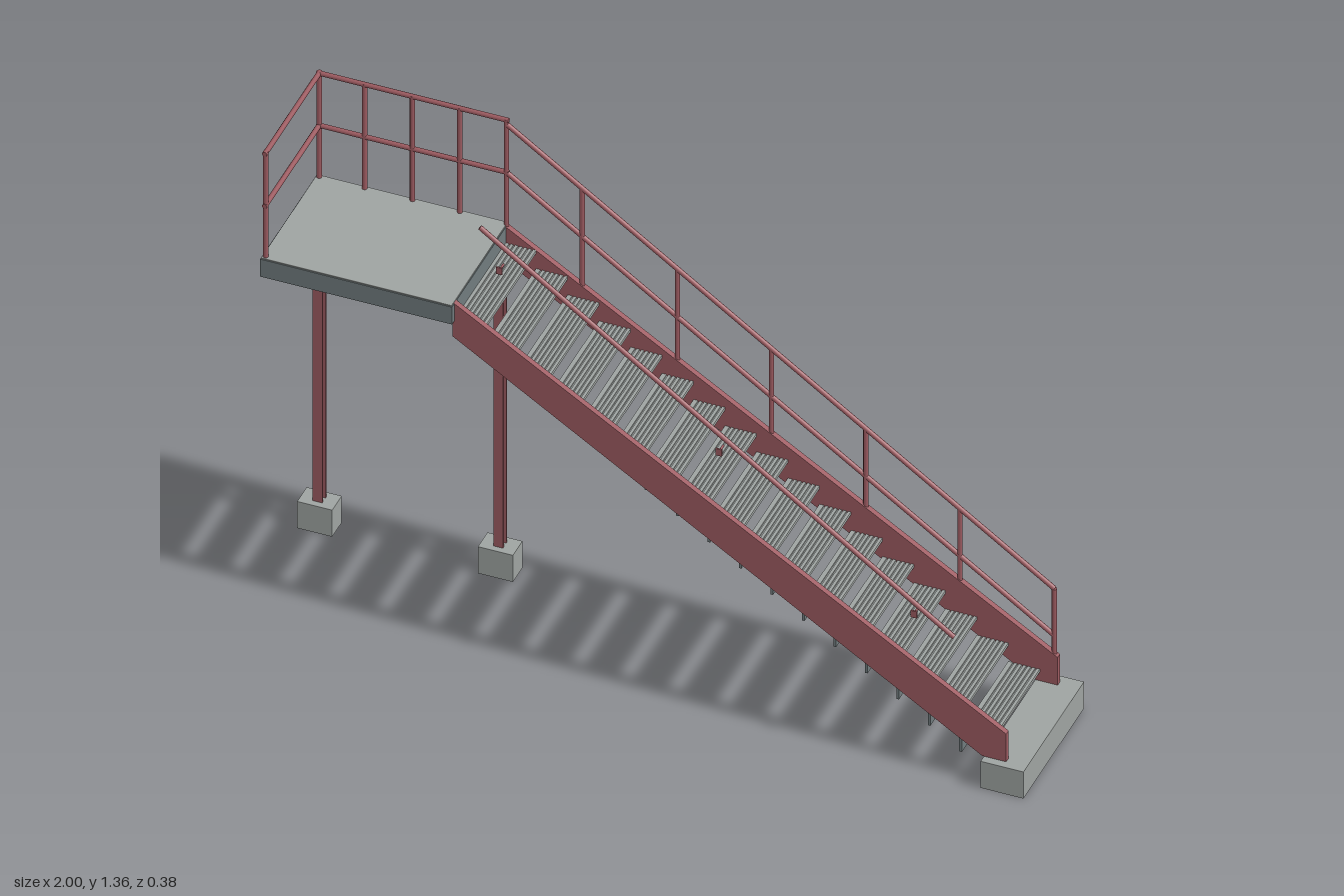
import * as THREE from 'three';

const red = new THREE.MeshStandardMaterial({ color: 0x9c5a60 });
red.name = 'red painted steel';
const concrete = new THREE.MeshStandardMaterial({ color: 0x9ea3a1 });
concrete.name = 'concrete grey';
const steel = new THREE.MeshStandardMaterial({ color: 0x707b7d });
steel.name = 'slate steel';

export function createModel() {
  const model = new THREE.Group();
  model.name = 'staircase';

  const add = (name, geometry, material, parent = model) => {
    const mesh = new THREE.Mesh(geometry, material);
    mesh.name = name;
    parent.add(mesh);
    return mesh;
  };
  // Box given by its limits on each axis
  const box = (name, material, [x0, x1], [y0, y1], [z0, z1], parent) => {
    const mesh = add(name, new THREE.BoxGeometry(x1 - x0, y1 - y0, z1 - z0), material, parent);
    mesh.position.set((x0 + x1) / 2, (y0 + y1) / 2, (z0 + z1) / 2);
    return mesh;
  };
  // Side profile in x and y, extruded from z0 to z1
  const extrude = (points, z0, z1) => {
    const shape = new THREE.Shape(points.map(([x, y]) => new THREE.Vector2(x, y)));
    return new THREE.ExtrudeGeometry(shape, { depth: z1 - z0, bevelEnabled: false }).translate(0, 0, z0);
  };
  // Straight round bar between two points
  const bar = (name, a, b, parent, r = 0.0065) => {
    const p = new THREE.Vector3(...a), q = new THREE.Vector3(...b);
    const dir = q.clone().sub(p);
    const mesh = add(name, new THREE.CylinderGeometry(r, r, dir.length(), 10), red, parent);
    mesh.position.copy(p).add(q).multiplyScalar(0.5);
    mesh.quaternion.setFromUnitVectors(new THREE.Vector3(0, 1, 0), dir.normalize());
    return mesh;
  };
  const group = (name) => {
    const g = new THREE.Group();
    g.name = name;
    model.add(g);
    return g;
  };

  // Concrete bases
  box('stairBase', concrete, [0.89, 1], [0, 0.08], [-0.19, 0.19]);
  for (const x of [-0.955, -0.49]) {
    box('columnFooting', concrete, [x - 0.045, x + 0.045], [0, 0.08], [-0.19, -0.13]);
    // H-section column
    const column = group('column');
    box('columnFrontFlange', red, [x - 0.0125, x + 0.0125], [0.08, 0.99], [-0.152, -0.147], column);
    box('columnBackFlange', red, [x - 0.0125, x + 0.0125], [0.08, 0.99], [-0.173, -0.168], column);
    box('columnWeb', red, [x - 0.003, x + 0.003], [0.08, 0.99], [-0.168, -0.152], column);
  }

  // Landing
  box('landingFrame', steel, [-0.967, -0.473], [0.99, 1.042], [-0.172, 0.184]);
  box('landingDeck', concrete, [-0.965, -0.475], [1.042, 1.045], [-0.17, 0.182]);

  // Sloping side beams
  const beam = [[-0.478, 0.943], [0.885, 0.08], [0.947, 0.08], [0.947, 0.163], [-0.478, 1.045]];
  add('frontStringer', extrude(beam, 0.154, 0.169), red);
  add('backStringer', extrude(beam, -0.169, -0.154), red);

  // Ridged treads, each with a plate hanging from its rear edge
  const run = 0.081, rise = 0.055, ridges = 7;
  const profile = [[0, -0.009], [run, -0.009]];
  for (let k = ridges - 1; k >= 0; k--) {
    const x = (k * run) / ridges, w = run / ridges;
    profile.push([x + w, 0], [x + w * 0.35, 0]);
    if (k > 0) profile.push([x + w * 0.35, -0.004], [x, -0.004]);
    else profile.push([0, 0]);
  }
  const treadGeometry = extrude(profile, -0.154, 0.154);
  const riserGeometry = new THREE.BoxGeometry(0.007, 0.042, 0.308);
  const steps = group('steps');
  for (let i = 0; i < 17; i++) {
    const x = 0.82 - run * i, y = 0.115 + rise * i;
    add('tread', treadGeometry, concrete, steps).position.set(x, y, 0);
    add('riser', riserGeometry, steel, steps).position.set(x + 0.0035, y - 0.03, 0);
  }

  // Landing guard rail along the back and the end
  const zBack = -0.163, zFront = 0.172, xEnd = -0.957, xTop = -0.475;
  const guard = group('landingRailing');
  for (const x of [xEnd, -0.84, -0.717, -0.595, xTop])
    bar('guardPost', [x, x === xTop ? 0.96 : 1.04, zBack], [x, 1.36, zBack], guard);
  bar('guardPost', [xEnd, 1.04, zFront], [xEnd, 1.36, zFront], guard);
  for (const y of [1.2, 1.357]) {
    bar('backRail', [xEnd - 0.006, y, zBack], [xTop + 0.006, y, zBack], guard);
    bar('endRail', [xEnd, y, zBack - 0.006], [xEnd, y, zFront + 0.008], guard);
  }

  // Stair railing on the back side
  const stairRail = group('stairRailing');
  const xLow = 0.935;
  const topAt = (x) => 1.345 - 0.698 * (x - xTop);
  const beamAt = (x) => 1.043 - 0.619 * (x + 0.478);
  for (const x of [-0.28, -0.035, 0.207, 0.45, 0.692, xLow])
    bar('stairPost', [x, beamAt(x) - 0.01, zBack], [x, topAt(x), zBack], stairRail);
  bar('stairTopRail', [xTop, topAt(xTop), zBack], [xLow, topAt(xLow), zBack], stairRail);
  bar('stairMidRail', [xTop, 1.2, zBack], [xLow, 0.22, zBack], stairRail);

  // Handrail on the front side with its wall brackets
  const handrail = group('handrail');
  bar('handrailBar', [-0.41, 1.285, 0.162], [0.81, 0.41, 0.162], handrail);
  for (const [x, y] of [[-0.35, 1.19], [0.215, 0.81], [0.717, 0.47]]) {
    bar('bracketArm', [x, y, 0.16], [x, y, 0.187], handrail, 0.003);
    box('bracketPlate', red, [x - 0.008, x + 0.008], [y - 0.01, y + 0.01], [0.185, 0.189], handrail);
  }
  return model;
}
